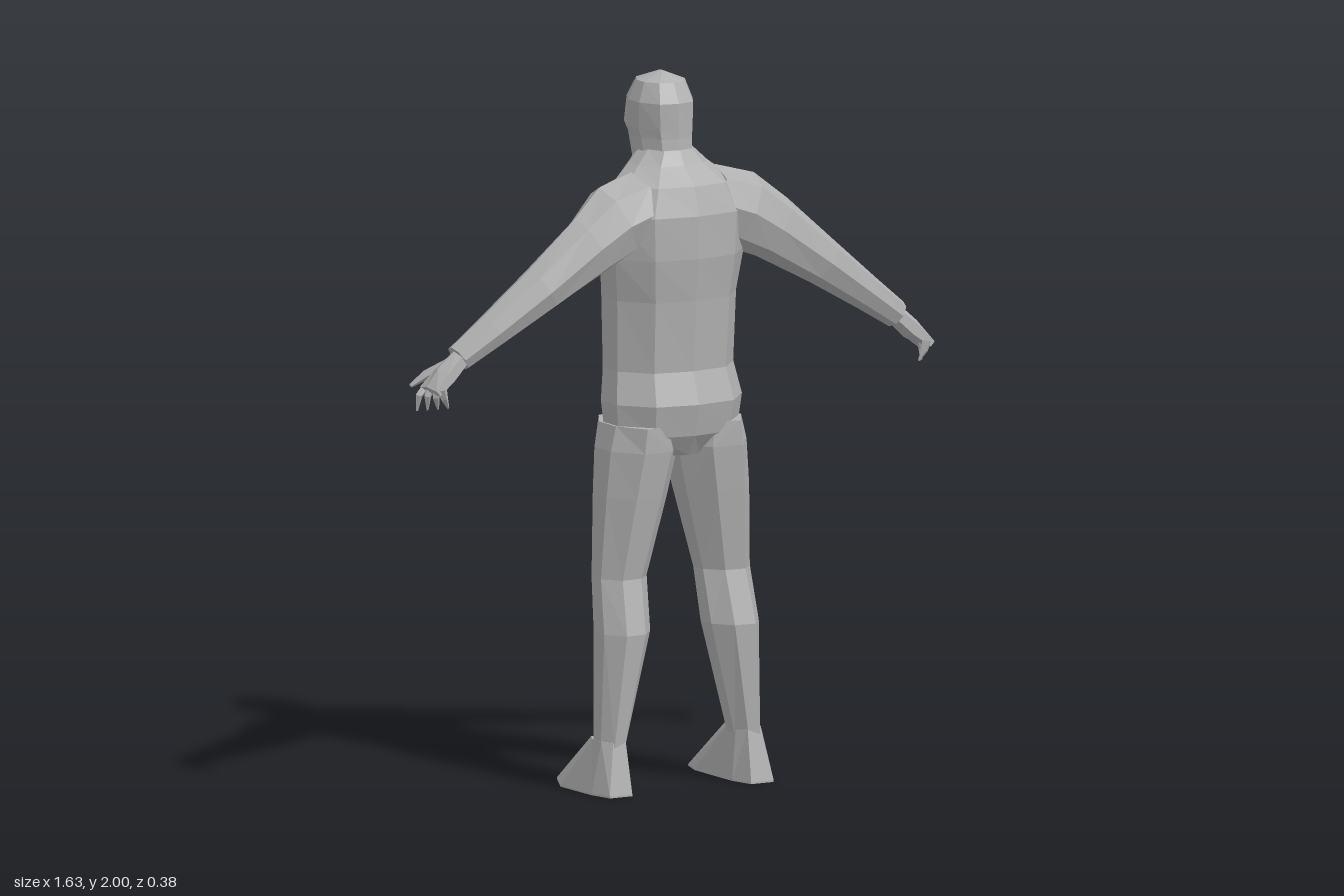
import * as THREE from 'three';

const grey = new THREE.MeshStandardMaterial({ color: 0xb0b0b0, flatShading: true });
grey.name = 'plain grey';

// Skin a list of equal-length point rings and close both ends, faces outward.
function loft(name, rings) {
  const n = rings[0].length, pts = rings.flat(), tris = [];
  for (let r = 0; r < rings.length - 1; r++) {
    for (let i = 0; i < n; i++) {
      const a = r * n + i, b = r * n + (i + 1) % n;
      tris.push([a, b, b + n], [a, b + n, a + n]);
    }
  }
  const last = (rings.length - 1) * n;
  for (let i = 1; i < n - 1; i++) {
    tris.push([0, i + 1, i], [last, last + i, last + i + 1]);
  }
  const vol = tris.reduce((sum, [a, b, c]) =>
    sum + pts[a].dot(new THREE.Vector3().crossVectors(pts[b], pts[c])), 0);
  const index = tris.flatMap(([a, b, c]) => (vol > 0 ? [a, b, c] : [a, c, b]));
  const geo = new THREE.BufferGeometry().setFromPoints(pts);
  geo.setIndex(index);
  const flat = geo.toNonIndexed();
  flat.computeVertexNormals();
  const mesh = new THREE.Mesh(flat, grey);
  mesh.name = name;
  return mesh;
}

// Body section: centre ridges front and back, slanted corners, short flat sides.
function bodyRing([y, w, zF, zB]) {
  const d = zB - zF;
  const half = [[0, zF], [0.6 * w, zF + 0.12 * d], [w, zF + 0.42 * d],
    [w, zF + 0.68 * d], [0.62 * w, zB - 0.06 * d], [0, zB]];
  const other = half.slice(1, -1).reverse().map(([x, z]) => [-x, z]);
  return half.concat(other).map(([x, z]) => new THREE.Vector3(x, y, z));
}

// Limb along rows of [x, y, z, half thickness, half depth in z], bending in the xy plane.
function limb(name, rows, side, n = 8) {
  return loft(name, rows.map(([x, y, z, u, d], k) => {
    const p = rows[Math.max(k - 1, 0)], q = rows[Math.min(k + 1, rows.length - 1)];
    const len = Math.hypot(q[0] - p[0], q[1] - p[1]);
    const ux = -(q[1] - p[1]) / len, uy = (q[0] - p[0]) / len;
    return Array.from({ length: n }, (_, i) => {
      const a = i / n * Math.PI * 2, c = Math.cos(a) * u;
      return new THREE.Vector3(side * (x + ux * c), y + uy * c, z + Math.sin(a) * d);
    });
  }));
}

// Leg section between inner and outer x, front and back z.
function legRing([y, xi, xo, zF, zB], side) {
  const w = xo - xi, d = zB - zF;
  return [[0.3, 0], [0.72, 0.08], [1, 0.38], [1, 0.7], [0.72, 1], [0.3, 0.97], [0, 0.68], [0, 0.35]]
    .map(([u, v]) => new THREE.Vector3(side * (xi + u * w), y, zF + v * d));
}

export function createModel() {
  const model = new THREE.Group();
  model.name = 'figure';

  // Torso, hips up to the collar
  model.add(loft('torso', [
    [0.94, 0.07, -0.09, 0.13], [1.0, 0.19, -0.13, 0.17], [1.09, 0.2, -0.15, 0.19],
    [1.18, 0.185, -0.155, 0.16], [1.38, 0.19, -0.165, 0.175], [1.5, 0.205, -0.145, 0.19],
    [1.62, 0.21, -0.115, 0.19], [1.7, 0.17, -0.11, 0.165], [1.75, 0.11, -0.1, 0.11],
    [1.79, 0.07, -0.09, 0.085],
  ].map(bodyRing)));

  // Head with a hood-like neck, chin and nose
  model.add(loft('head', [
    [1.72, 0.085, -0.1, 0.1], [1.77, 0.075, -0.135, 0.085], [1.82, 0.078, -0.15, 0.08],
    [1.845, 0.083, -0.17, 0.08], [1.92, 0.085, -0.15, 0.08], [1.975, 0.065, -0.11, 0.05],
    [2.0, 0.004, -0.03, -0.01],
  ].map(bodyRing)));

  for (const side of [1, -1]) {
    const label = side > 0 ? 'left' : 'right';

    // Sleeve from shoulder to cuff
    model.add(limb(label + 'Arm', [
      [0.1, 1.64, 0.045, 0.1, 0.12], [0.2, 1.605, 0.065, 0.11, 0.1],
      [0.29, 1.55, 0.09, 0.092, 0.073], [0.45, 1.44, 0.09, 0.068, 0.066],
      [0.6, 1.335, 0.08, 0.05, 0.052], [0.7, 1.265, 0.07, 0.04, 0.04],
    ], side));

    // Hand, thumb and curled fingers
    const hand = new THREE.Group();
    hand.name = label + 'Hand';
    hand.add(limb('palm', [
      [0.685, 1.275, 0.07, 0.028, 0.032], [0.745, 1.22, 0.07, 0.03, 0.045],
      [0.79, 1.18, 0.07, 0.018, 0.054],
    ], side, 6));
    hand.add(limb('thumb', [
      [0.715, 1.245, 0.045, 0.02, 0.02], [0.77, 1.215, 0.01, 0.015, 0.014],
      [0.808, 1.185, -0.008, 0.006, 0.007],
    ], side, 4));
    [0.03, 0.057, 0.084, 0.11].forEach((z, i) => {
      const tip = 0.012 * i;
      hand.add(limb('finger', [
        [0.775, 1.19, z, 0.015, 0.014], [0.803 - tip, 1.163, z, 0.011, 0.011],
        [0.806 - tip * 1.5, 1.12 + tip * 0.4, z - 0.005, 0.003, 0.003],
      ], side, 4));
    });
    model.add(hand);

    // Trouser leg
    model.add(loft(label + 'Leg', [
      [1.03, 0.02, 0.2, -0.13, 0.165], [0.96, 0.0, 0.217, -0.122, 0.163],
      [0.83, 0.03, 0.228, -0.095, 0.145], [0.6, 0.09, 0.238, -0.055, 0.108],
      [0.45, 0.098, 0.247, -0.035, 0.148], [0.13, 0.175, 0.255, 0, 0.125],
    ].map(r => legRing(r, side))));

    // Shoe: ankle section flaring to a long pointed sole
    const ankle = [[0.195, -0.005], [0.235, 0], [0.255, 0.04], [0.255, 0.09],
      [0.235, 0.122], [0.195, 0.122], [0.175, 0.09], [0.175, 0.04]];
    const sole = [[0.185, -0.19], [0.235, -0.19], [0.287, -0.08], [0.28, 0.08],
      [0.262, 0.15], [0.19, 0.15], [0.17, 0.08], [0.165, -0.12]];
    const shoeRing = (pts, y) => pts.map(([x, z]) => new THREE.Vector3(side * x, y, z));
    model.add(loft(label + 'Shoe', [shoeRing(ankle, 0.15), shoeRing(sole, 0.005), shoeRing(sole, 0)]));
  }
  return model;
}
